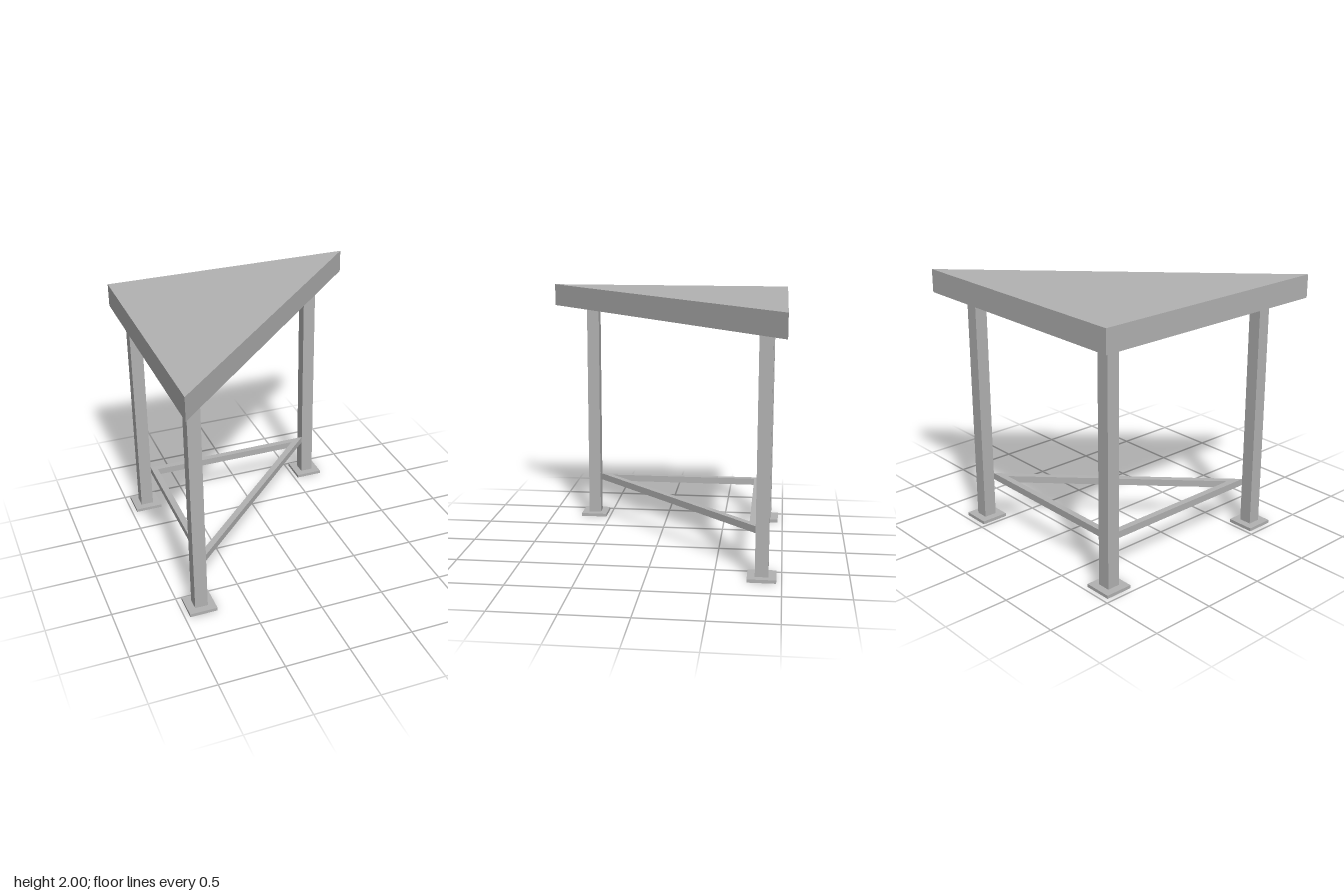
import * as THREE from 'three';

// Right triangle with its square corner at (min, min) and both short sides running to max,
// inset by d on all three sides. Shape y is -z.
function triangle(min, max, d, Type) {
  const a = min + d, b = max - d * (1 + Math.SQRT2);
  return new Type([
    new THREE.Vector2(a, -a),
    new THREE.Vector2(a, -b),
    new THREE.Vector2(b, -a),
  ]);
}

// Triangular plate, or a ring when width is given, standing from y0 to y1
function prism(min, max, inset, y0, y1, width = 0) {
  const shape = triangle(min, max, inset, THREE.Shape);
  if (width) shape.holes.push(triangle(min, max, inset + width, THREE.Path));
  const geo = new THREE.ExtrudeGeometry(shape, { depth: y1 - y0, bevelEnabled: false });
  return geo.rotateX(-Math.PI / 2).translate(0, y0, 0);
}

export function createModel() {
  const model = new THREE.Group();
  model.name = 'cornerTable';
  const grey = new THREE.MeshStandardMaterial({ color: 0xb2b2b2 });
  grey.name = 'grey';

  const add = (name, geo, parent = model) => {
    const mesh = new THREE.Mesh(geo, grey);
    mesh.name = name;
    parent.add(mesh);
  };

  // Top: one triangular sheet with a deep rim, hollow underneath
  const rim = 0.08, ceiling = 1.95;
  add('tableTop', prism(-1, 1, 0, ceiling, 2));
  add('tableRim', prism(-1, 1, 0, 1.82, ceiling, rim));

  // Three square legs on foot plates
  const near = -0.853, far = 0.638;
  const legs = { cornerLeg: [near, near], leftLeg: [far, near], frontLeg: [near, far] };
  for (const [name, [x, z]] of Object.entries(legs)) {
    const leg = new THREE.Group();
    leg.name = name;
    leg.position.set(x, 0, z);
    add('post', new THREE.BoxGeometry(0.1, ceiling - 0.025, 0.1).translate(0, (ceiling + 0.025) / 2, 0), leg);
    add('footPlate', new THREE.BoxGeometry(0.216, 0.025, 0.216).translate(0, 0.0125, 0), leg);
    model.add(leg);
  }

  // Stretcher frame joining the inner corners of the legs
  add('stretcherFrame', prism(-0.803, 0.588, 0, 0.327, 0.38, 0.05));

  return model;
}
